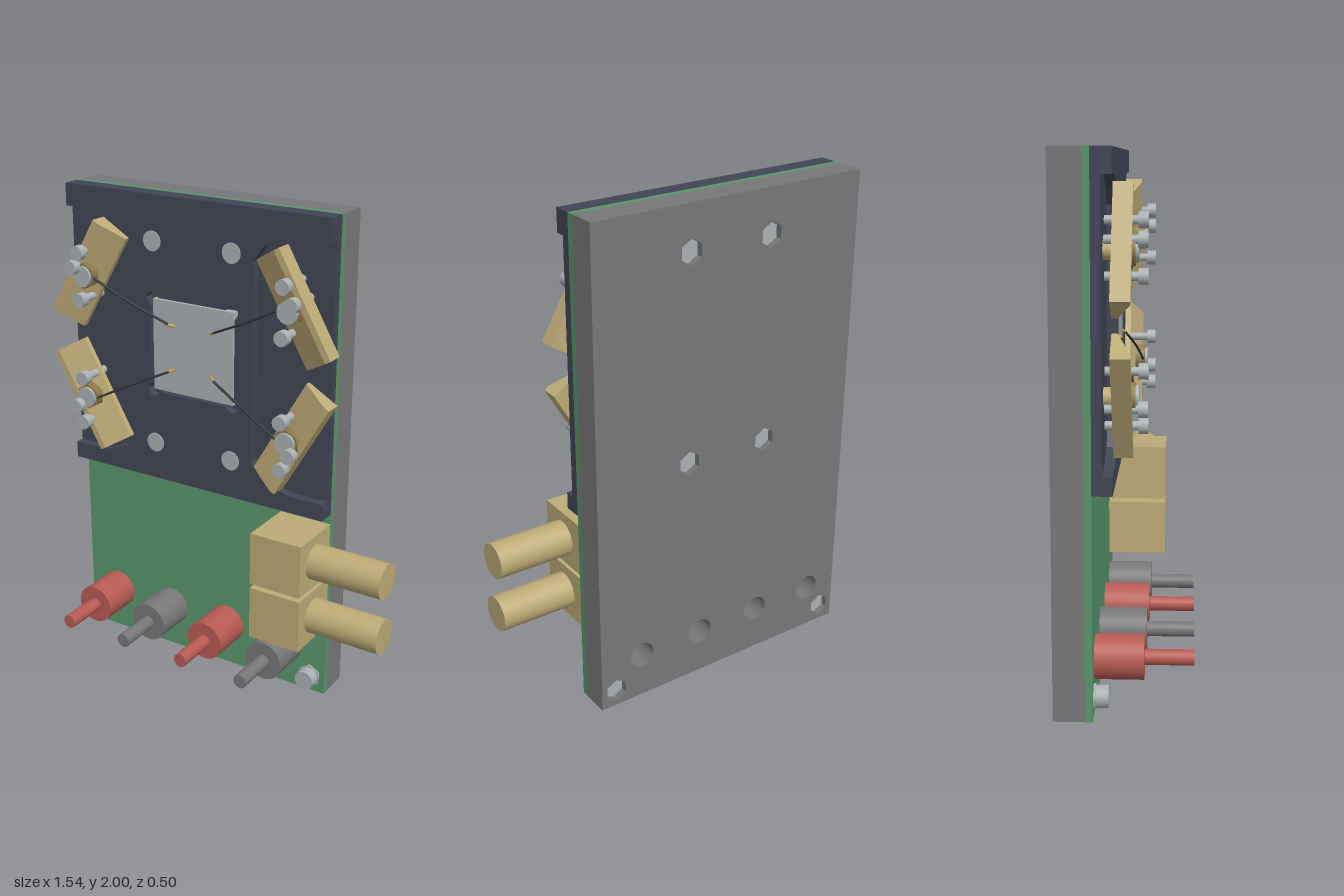
import * as THREE from 'three';

const mat = (name, color, side = THREE.FrontSide) => {
  const m = new THREE.MeshStandardMaterial({ color, side });
  m.name = name;
  return m;
};

export function createModel() {
  const root = new THREE.Group();
  root.name = 'testFixture';
  const gray = mat('gray', 0x777779), green = mat('boardGreen', 0x58956b), dark = mat('darkSlate', 0x414554);
  const brass = mat('brass', 0xbcab76), silver = mat('silver', 0xaab0b3), red = mat('red', 0xb85a53);
  const bronze = mat('bronze', 0x8f7d4a), wireMat = mat('wireDark', 0x33353c), gold = mat('goldTip', 0xd2a040);

  const CX = -0.131, CY = 1.402, W = 1.192, L = CX - W / 2, R = CX + W / 2;

  const add = (name, geo, m, x = 0, y = 0, z = 0, parent = root) => {
    const mesh = new THREE.Mesh(geo, m);
    mesh.name = name;
    mesh.position.set(x, y, z);
    parent.add(mesh);
    return mesh;
  };
  // box given by its limits
  const box = (name, m, x0, x1, y0, y1, z0, z1, parent) =>
    add(name, new THREE.BoxGeometry(x1 - x0, y1 - y0, z1 - z0), m, (x0 + x1) / 2, (y0 + y1) / 2, (z0 + z1) / 2, parent);
  // round or hexagonal post along z
  const post = (name, m, r, x, y, z0, z1, sides = 28, parent) =>
    add(name, new THREE.CylinderGeometry(r, r, z1 - z0, sides).rotateX(Math.PI / 2), m, x, y, (z0 + z1) / 2, parent);
  const poly = pts => new THREE.Shape(pts.map(p => new THREE.Vector2(...p)));
  const ring = (r, x, y, n) => {
    const pts = [];
    for (let i = 0; i < n; i++) {
      const a = (i / n) * Math.PI * 2;
      pts.push(new THREE.Vector2(x + r * Math.sin(a), y + r * Math.cos(a)));
    }
    return new THREE.Path(pts);
  };
  const extrude = (shape, depth) => new THREE.ExtrudeGeometry(shape, { depth, bevelEnabled: false });

  const jackX = [-0.58, -0.295, -0.01, 0.275], jackY = 0.19;
  const plateScrews = [];
  for (const x of [-0.18, 0.18]) for (const y of [-0.418, 0.418]) plateScrews.push([CX + x, CY + y]);
  const cornerScrews = [[-0.66, 0.07], [0.397, 0.07]];

  // Back plate with hexagonal nut pockets and jack clearance holes
  const back = poly([[L, 0], [R, 0], [R, 2], [L, 2]]);
  for (const [x, y] of [...plateScrews, ...cornerScrews]) back.holes.push(ring(0.05, x, y, 6));
  for (const x of jackX) back.holes.push(ring(0.056, x, jackY, 28));
  add('backPlate', extrude(back, 0.115), gray, 0, 0, -0.251);
  for (const [x, y] of [...plateScrews, ...cornerScrews]) post('hexNut', silver, 0.049, x, y, -0.225, -0.14, 6);

  // Circuit board
  box('circuitBoard', green, L, R, 0, 2, -0.136, -0.109);

  // Carrier: base slab plus raised layer with side pockets and a relieved centre opening
  box('carrierBase', dark, L, R, 0.825, 2, -0.109, -0.074);
  const quarter = [[R - CX, 0.508], [0.44, 0.508], [0.32, 0.465], [0.274, 0.4], [0.274, 0.16]];
  const flip = (pts, sx, sy) => pts.map(([x, y]) => [CX + x * sx, CY + y * sy]);
  const raised = poly([
    [L, 2], [L, 1.91], ...flip(quarter, -1, 1), ...flip(quarter, -1, -1).reverse(), [L, 0.825],
    [R, 0.825], ...flip(quarter, 1, -1), ...flip(quarter, 1, 1).reverse(), [R, 2],
  ]);
  const relief = [[0.195, 0], [0.195, 0.16], [0.215, 0.19], [0.2, 0.215], [0.175, 0.215], [0.155, 0.195], [0, 0.195]];
  const opening = [
    ...flip(relief, 1, 1), ...flip(relief.slice(0, -1), -1, 1).reverse(),
    ...flip(relief.slice(1), -1, -1), ...flip(relief.slice(1, -1), 1, -1).reverse(),
  ];
  raised.holes.push(new THREE.Path(opening.map(p => new THREE.Vector2(...p))));
  add('carrierFrame', extrude(raised, 0.038), dark, 0, 0, -0.074);
  box('chip', silver, CX - 0.186, CX + 0.186, CY - 0.188, CY + 0.188, -0.074, -0.042);
  for (const [x, y] of plateScrews) post('carrierScrew', silver, 0.04, x, y, -0.06, -0.032);

  // Four probe clamps around the chip, each with a sloped inner edge
  const section = poly([[-0.07, -0.043], [0.07, -0.043], [0.07, -0.022], [-0.045, 0.027], [-0.07, 0.027]]);
  for (const sx of [-1, 1]) for (const sy of [-1, 1]) {
    const g = new THREE.Group();
    g.name = 'probeClamp';
    root.add(g);
    const at = (x, y) => [CX + sx * x, CY + sy * y];
    const [bx, by] = at(0.468, 0.254);
    const body = add('clampBlock', extrude(section, 0.447).translate(0, 0, -0.2235).rotateX(Math.PI / 2), brass, bx, by, 0, g);
    body.rotation.z = Math.atan2(-sy * 0.5, -sx * 0.866);
    post('clampFoot', brass, 0.035, bx, by, -0.074, -0.04, 20, g);
    post('clampNut', bronze, 0.054, bx, by, 0, 0.038, 6, g);
    post('clampWasher', silver, 0.042, bx, by, 0.038, 0.05, 24, g);
    // small binding screws
    for (const p of [[0.464, 0.355], [0.499, 0.291], [0.462, 0.164]]) {
      const [x, y] = at(...p);
      post('screwShank', silver, 0.016, x, y, -0.07, 0.055, 16, g);
      post('screwHead', silver, 0.029, x, y, 0.048, 0.082, 20, g);
    }
    // probe needle reaching down to the chip
    const start = new THREE.Vector3(...at(0.495, 0.29), 0.04);
    const mid = new THREE.Vector3(...at(0.29, 0.185), 0.012);
    const neck = new THREE.Vector3(...at(0.105, 0.098), -0.028);
    const tip = new THREE.Vector3(...at(0.085, 0.088), -0.042);
    add('probeNeedle', new THREE.TubeGeometry(new THREE.CatmullRomCurve3([start, mid, neck]), 12, 0.005, 6), wireMat, 0, 0, 0, g);
    add('probeTip', new THREE.TubeGeometry(new THREE.LineCurve3(neck, tip), 1, 0.006, 6), gold, 0, 0, 0, g);
  }

  // Coaxial connectors on the side edge
  for (const y of [0.435, 0.673]) {
    box('connectorBlock', brass, 0.243, R, y - 0.11, y + 0.11, -0.109, 0.128);
    add('connectorBarrel', new THREE.CylinderGeometry(0.071, 0.071, 0.772 - R, 40).rotateZ(Math.PI / 2), brass, (0.772 + R) / 2, y, 0.01);
  }

  // Banana jacks in alternating colours
  jackX.forEach((x, i) => {
    const m = i % 2 ? gray : red;
    post('jackBody', m, 0.082, x, jackY, -0.109, 0.07, 36);
    post('jackPin', m, 0.029, x, jackY, 0.07, 0.25, 24);
  });

  // Corner screws with hexagonal washers
  for (const [x, y] of cornerScrews) {
    post('cornerWasher', silver, 0.05, x, y, -0.109, -0.1, 6);
    post('cornerScrew', silver, 0.041, x, y, -0.1, -0.055);
  }
  return root;
}
